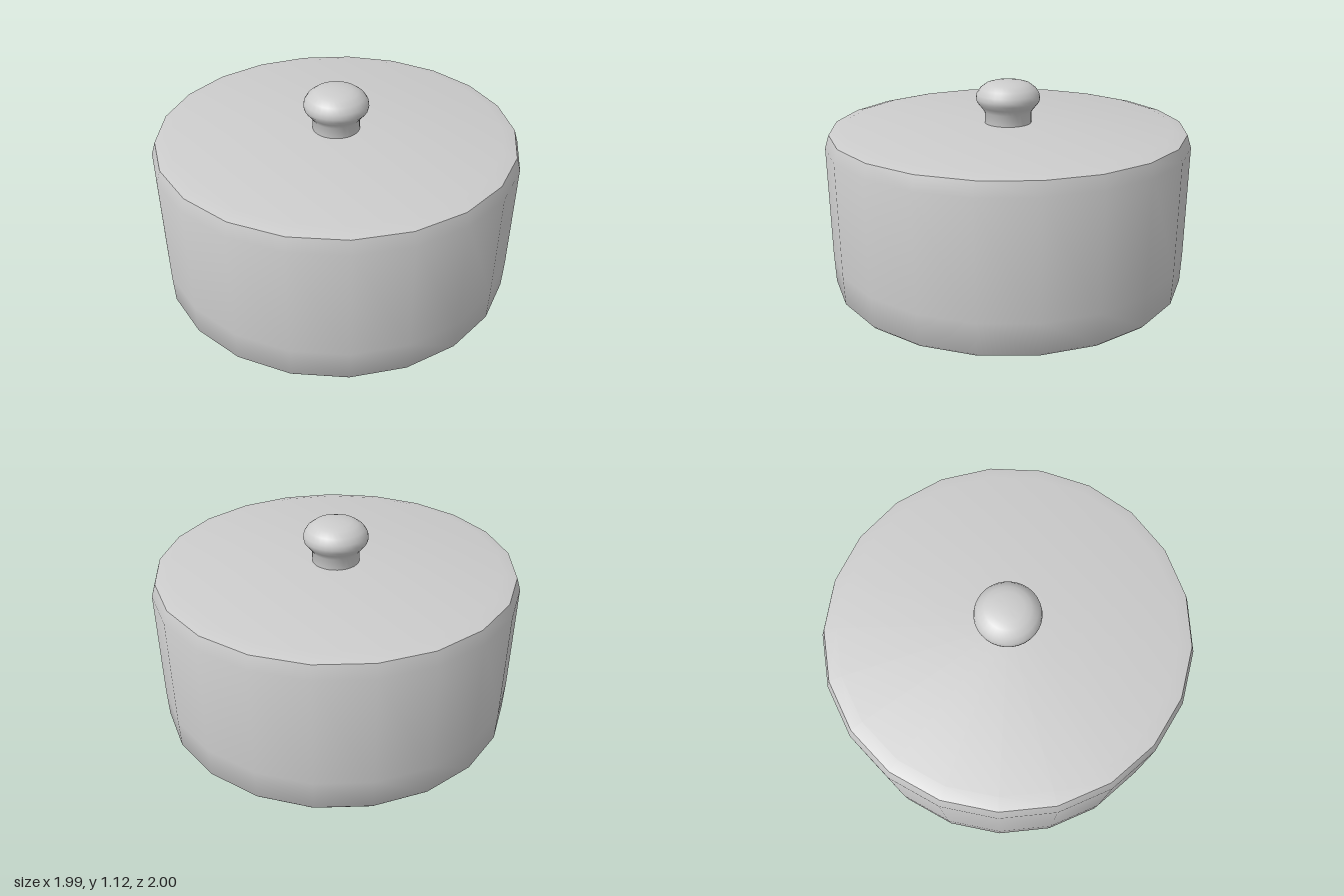
import * as THREE from 'three';
import { toCreasedNormals } from 'three/addons/utils/BufferGeometryUtils.js';

const material = new THREE.MeshStandardMaterial({ color: 0xcccccc });

// Turned part; the first corner lies on the +x axis.
function turned(name, profile, sides) {
  const points = profile.map(([r, y]) => new THREE.Vector2(r, y));
  const geometry = new THREE.LatheGeometry(points, sides, Math.PI / 2);
  const mesh = new THREE.Mesh(toCreasedNormals(geometry, 0.75), material);
  mesh.name = name;
  return mesh;
}

export function createModel() {
  const model = new THREE.Group();
  model.name = 'domedLid';

  // Hollow 21-sided cover: ceiling, inner wall, rim, outer wall, top
  model.add(turned('cover', [
    [0, 0.74], [0.915, 0.74], [0.915, 0.02], [0.925, 0],
    [0.985, 0], [0.998, 0.015], [1.003, 0.18], [1.003, 0.8],
    [0.98, 0.87], [0.91, 0.888], [0, 0.888],
  ], 21));

  // Mushroom-shaped handle on a short neck
  model.add(turned('knob', [
    [0.13, 0.87], [0.13, 0.95], [0.153, 0.98], [0.173, 1.005],
    [0.178, 1.025], [0.174, 1.05], [0.155, 1.08], [0.12, 1.106],
    [0.085, 1.116], [0.045, 1.122], [0, 1.123],
  ], 32));

  // An odd side count is slightly wider towards +x, so re-centre it
  model.position.x = -0.0056;
  return model;
}
